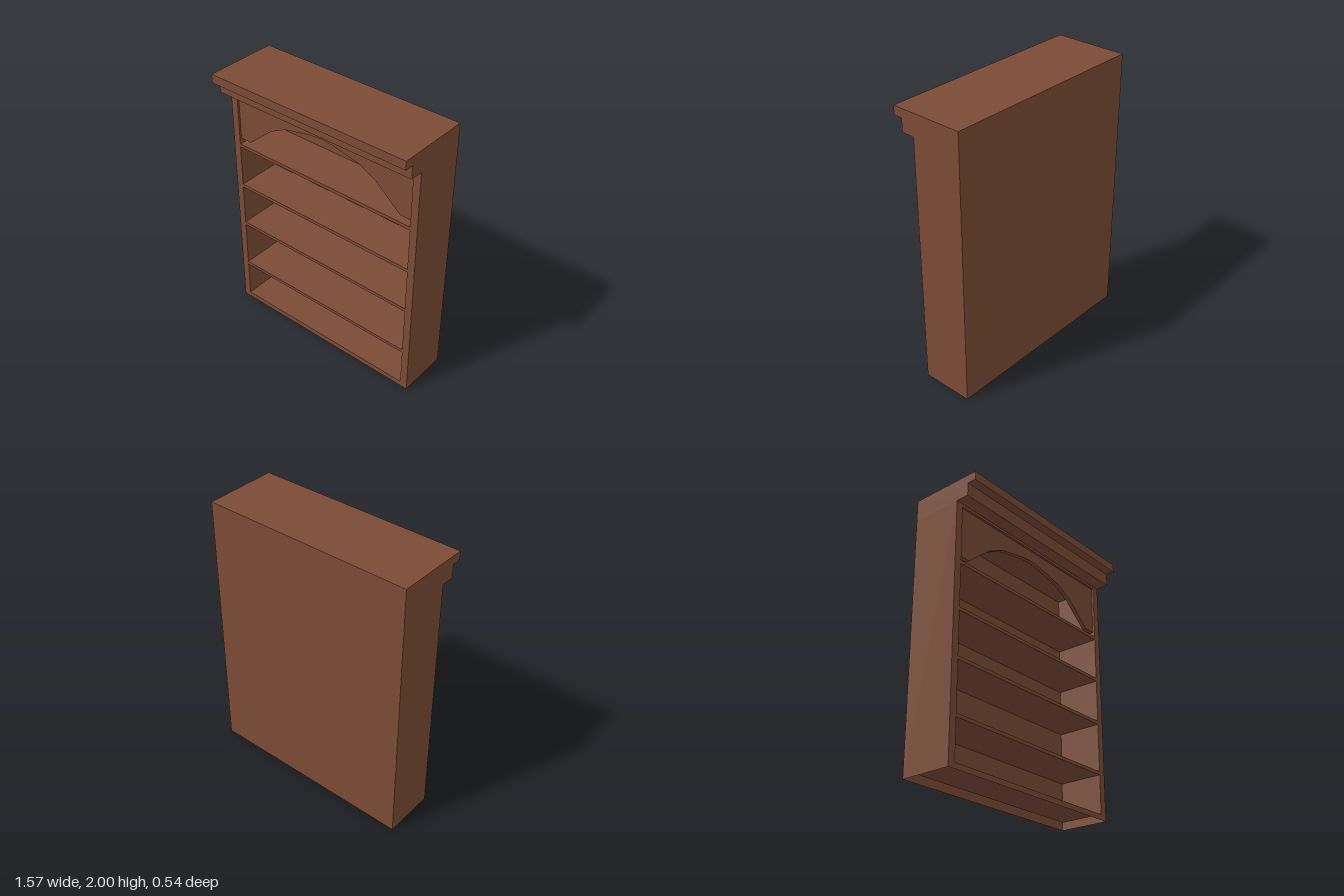
import * as THREE from 'three';

const HALF_W = 0.785, BACK = -0.27, FRONT = 0.11, CORNICE_Y = 1.84;
const INNER_W = 0.73, INNER_BACK = -0.225;
// bottom and top of each compartment
const BAYS = [[0.04, 0.325], [0.35, 0.705], [0.73, 1.045], [1.07, 1.385], [1.41, 1.82]];

export function createModel() {
  const wood = new THREE.MeshStandardMaterial({ color: 0x7a4b34, side: THREE.DoubleSide });
  wood.name = 'brown wood';
  const model = new THREE.Group();
  model.name = 'bookcase';

  function add(parent, name, geometry, x = 0, y = 0, z = 0) {
    const mesh = new THREE.Mesh(geometry, wood);
    mesh.name = name;
    mesh.position.set(x, y, z);
    parent.add(mesh);
    return mesh;
  }
  function panel(parent, name, w, h, x, y, z, rx = 0, ry = 0) {
    add(parent, name, new THREE.PlaneGeometry(w, h), x, y, z).rotation.set(rx, ry, 0);
  }

  // Outer shell, open underneath
  const depth = FRONT - BACK;
  panel(model, 'backPanel', HALF_W * 2, CORNICE_Y, 0, CORNICE_Y / 2, BACK, 0, Math.PI);
  for (const s of [-1, 1]) {
    panel(model, s > 0 ? 'leftSide' : 'rightSide', depth, CORNICE_Y,
      s * HALF_W, CORNICE_Y / 2, (FRONT + BACK) / 2, 0, s * Math.PI / 2);
  }

  // Front frame with one opening per compartment
  const rect = (C, x, y0, y1) => {
    const path = new C();
    path.moveTo(-x, y0).lineTo(x, y0).lineTo(x, y1).lineTo(-x, y1).closePath();
    return path;
  };
  const frame = rect(THREE.Shape, HALF_W, 0, CORNICE_Y);
  frame.holes = BAYS.map(([y0, y1]) => rect(THREE.Path, INNER_W, y0, y1));
  add(model, 'frontFrame', new THREE.ShapeGeometry(frame), 0, 0, FRONT);

  // Compartment linings
  const d = FRONT - INNER_BACK, zc = (FRONT + INNER_BACK) / 2;
  BAYS.forEach(([y0, y1], i) => {
    const bay = new THREE.Group();
    bay.name = `compartment${i + 1}`;
    const yc = (y0 + y1) / 2;
    panel(bay, 'shelfTop', INNER_W * 2, d, 0, y0, zc, -Math.PI / 2);
    panel(bay, 'shelfUnderside', INNER_W * 2, d, 0, y1, zc, Math.PI / 2);
    panel(bay, 'innerBack', INNER_W * 2, y1 - y0, 0, yc, INNER_BACK);
    for (const s of [-1, 1]) {
      panel(bay, 'innerSide', d, y1 - y0, s * INNER_W, yc, zc, 0, -s * Math.PI / 2);
    }
    model.add(bay);
  });

  // Arched valance, set slightly back in the top opening
  const half = [[0.73, 1.45], [0.64, 1.45], [0.44, 1.62], [0.31, 1.685], [0.1, 1.73]];
  const arch = new THREE.Shape([
    [-INNER_W, 1.82], ...half.map(([x, y]) => [-x, y]), [0, 1.74],
    ...half.slice().reverse(), [INNER_W, 1.82],
  ].map(([x, y]) => new THREE.Vector2(x, y)));
  add(model, 'archedValance',
    new THREE.ExtrudeGeometry(arch, { depth: 0.03, bevelEnabled: false }), 0, 0, 0.065);

  // Stepped cornice: (z, y) profile swept across the width
  const profile = new THREE.Shape([
    [BACK, CORNICE_Y], [0.205, CORNICE_Y], [0.205, 1.937], [0.27, 1.937], [0.27, 2], [BACK, 2],
  ].map(([z, y]) => new THREE.Vector2(-z, y)));
  const cornice = new THREE.ExtrudeGeometry(profile, { depth: HALF_W * 2, bevelEnabled: false });
  cornice.rotateY(Math.PI / 2);
  add(model, 'cornice', cornice, -HALF_W);

  return model;
}
